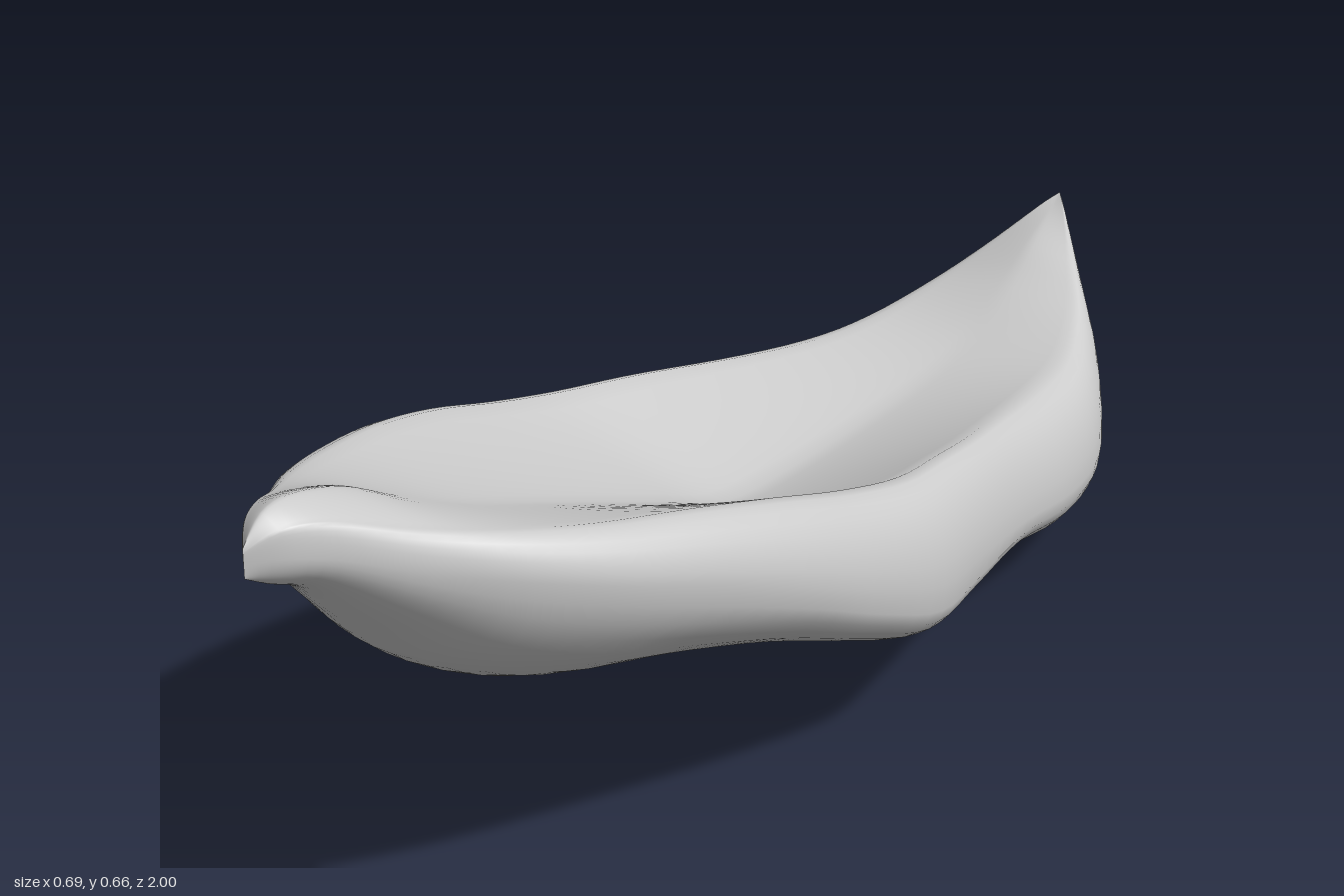
import * as THREE from 'three';

// Cross-sections along the length:
// z, half width, rim y, widest y, underside y, dish y, underside hollow, underside squareness
const SECTIONS = [
  [-1.0, 0.0, 0.425, 0.41, 0.38, 0.425, 0, 2],
  [-0.97, 0.035, 0.405, 0.31, 0.18, 0.405, 0, 2],
  [-0.9, 0.105, 0.355, 0.22, 0.06, 0.37, 0, 2],
  [-0.82, 0.172, 0.312, 0.165, 0.013, 0.325, 0, 2],
  [-0.7, 0.232, 0.283, 0.14, 0.001, 0.277, 0, 2],
  [-0.55, 0.263, 0.289, 0.145, 0.025, 0.26, 0, 2.1],
  [-0.35, 0.288, 0.32, 0.185, 0.092, 0.26, 0.005, 2.5],
  [-0.15, 0.322, 0.358, 0.222, 0.114, 0.267, 0.01, 3.1],
  [0.0, 0.344, 0.385, 0.245, 0.132, 0.283, 0.05, 3.4],
  [0.15, 0.342, 0.425, 0.3, 0.187, 0.342, 0.06, 3.1],
  [0.3, 0.33, 0.472, 0.365, 0.24, 0.402, 0.025, 2.6],
  [0.45, 0.3, 0.512, 0.425, 0.276, 0.462, 0, 2.3],
  [0.6, 0.252, 0.544, 0.475, 0.3, 0.522, 0, 2],
  [0.72, 0.193, 0.573, 0.515, 0.36, 0.578, 0, 2],
  [0.82, 0.125, 0.602, 0.55, 0.455, 0.63, 0, 2],
  [0.91, 0.065, 0.635, 0.59, 0.54, 0.657, 0, 2],
  [0.965, 0.03, 0.64, 0.605, 0.568, 0.655, 0, 2],
  [1.0, 0.0, 0.62, 0.605, 0.588, 0.625, 0, 2],
];

// Smooth blend between neighbouring cross-sections
function sectionAt(t) {
  const last = SECTIONS.length - 1;
  const i = Math.min(Math.floor(t), last - 1), f = t - i;
  const row = (k) => SECTIONS[THREE.MathUtils.clamp(k, 0, last)];
  return row(i).map((b, c) => {
    const a = row(i - 1)[c], d = row(i + 1)[c], e = row(i + 2)[c];
    return b + 0.5 * f * (d - a + f * (2 * a - 5 * b + 4 * d - e + f * (3 * (b - d) + e - a)));
  });
}

// Half outline from the underside centre, round the side and over the rim to the dish centre
function halfOutline([z, w, top, mid, bottom, dish, hollow, p]) {
  const points = [];
  const rim = 0.68 + 0.1 * THREE.MathUtils.smoothstep(z, -0.65, -0.2);
  const N = 10, S = 7, D = 9;
  for (let k = 0; k < N; k++) {
    const a = (k / N) * Math.PI / 2;
    const u = Math.sin(a) ** (2 / p), v = Math.cos(a) ** (2 / p);
    const lift = hollow * Math.max(0, 1 - (u / 0.7) ** 2) ** 1.5;
    points.push([w * u, mid - (mid - bottom) * v + lift]);
  }
  for (let k = 0; k < S; k++) {
    const a = (k / S) * Math.PI / 2;
    points.push([w * (rim + (1 - rim) * Math.cos(a)), mid + (top - mid) * Math.sin(a)]);
  }
  for (let k = 0; k <= D; k++) {
    const u = 1 - k / D;
    points.push([w * rim * u, dish + (top - dish) * u ** 1.3]);
  }
  return points;
}

// Closed skin lofted through all cross-sections
function loftBody() {
  const steps = (SECTIONS.length - 1) * 4;
  const positions = [], indices = [];
  let ring = 0;
  for (let i = 0; i <= steps; i++) {
    const section = sectionAt(i / 4);
    const half = halfOutline(section);
    const mirrored = half.slice(1, -1).reverse().map(([x, y]) => [-x, y]);
    const outline = [...half, ...mirrored];
    ring = outline.length;
    outline.forEach(([x, y]) => positions.push(x, y, section[0]));
  }
  for (let i = 0; i < steps; i++) {
    for (let j = 0; j < ring; j++) {
      const a = i * ring + j, b = i * ring + (j + 1) % ring;
      indices.push(a, b, a + ring, b, b + ring, a + ring);
    }
  }
  const geometry = new THREE.BufferGeometry();
  geometry.setAttribute('position', new THREE.Float32BufferAttribute(positions, 3));
  geometry.setIndex(indices);
  geometry.computeVertexNormals();
  return geometry;
}

export function createModel() {
  const group = new THREE.Group();
  group.name = 'hollowPod';
  const material = new THREE.MeshStandardMaterial({ color: 0xcccccc, side: THREE.DoubleSide });
  const body = new THREE.Mesh(loftBody(), material);
  body.name = 'podBody';
  group.add(body);
  return group;
}
